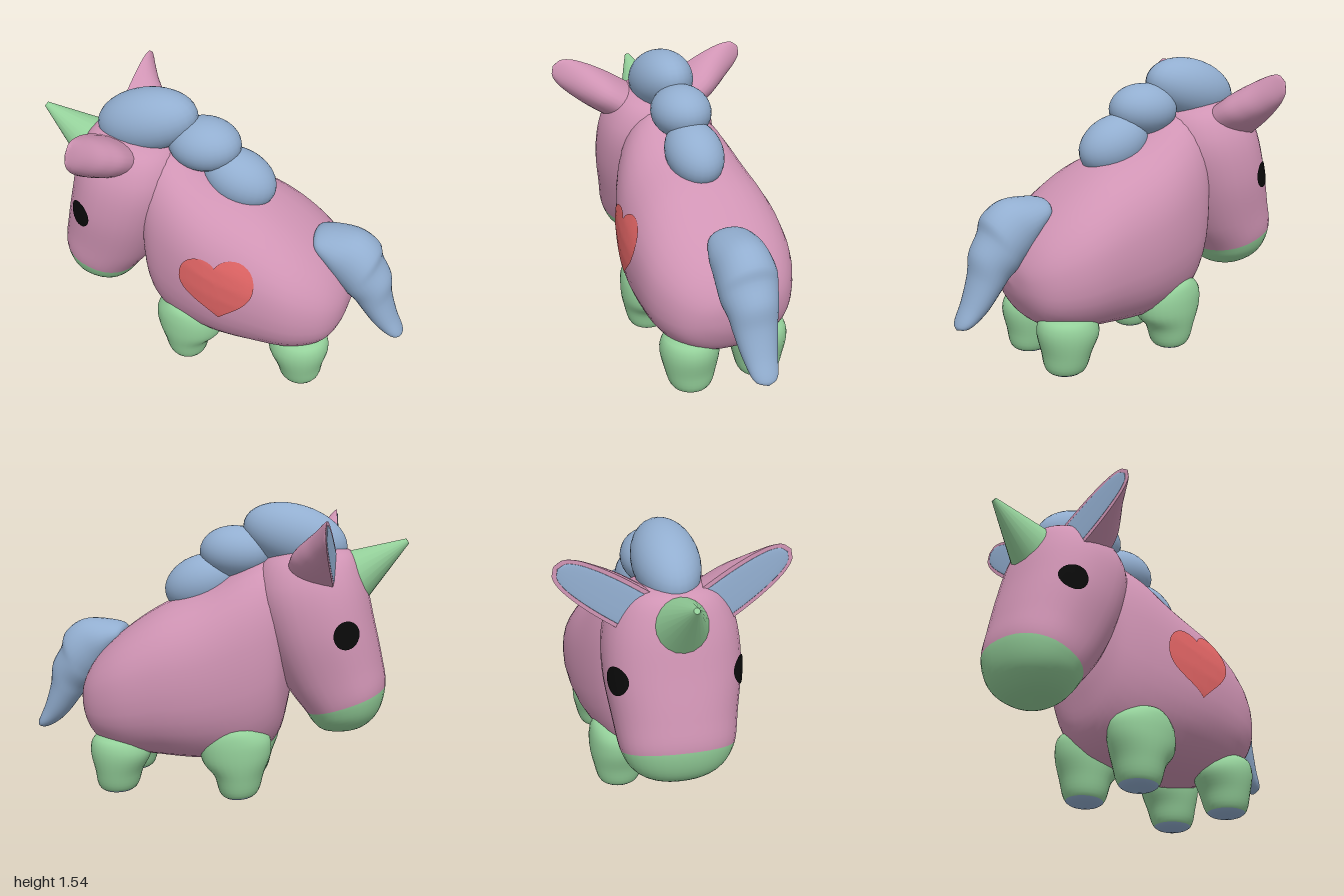
import * as THREE from 'three';
import { toCreasedNormals } from 'three/addons/utils/BufferGeometryUtils.js';

const paint = (name, color) => {
  const m = new THREE.MeshStandardMaterial({ color });
  m.name = name;
  return m;
};

// Skin through oval sections [ax, ay, bx, by, halfWidth]: a and b are opposite
// points in the xy plane, halfWidth runs along z. Rows before `split` get group 0.
function loft(sections, { sides = 28, steps = 5, power = 2, split = 0 } = {}) {
  const curveA = new THREE.CatmullRomCurve3(sections.map(s => new THREE.Vector3(s[0], s[1], s[4])));
  const curveB = new THREE.CatmullRomCurve3(sections.map(s => new THREE.Vector3(s[2], s[3], 0)));
  const rows = (sections.length - 1) * steps;
  const soft = v => Math.sign(v) * Math.abs(v) ** (2 / power);
  const pos = [], index = [];
  for (let i = 0; i <= rows; i++) {
    const a = curveA.getPoint(i / rows), b = curveB.getPoint(i / rows);
    const width = Math.max(a.z, 0);
    for (let j = 0; j < sides; j++) {
      const t = (j / sides) * Math.PI * 2, c = soft(Math.cos(t));
      pos.push((a.x + b.x) / 2 + (a.x - b.x) / 2 * c, (a.y + b.y) / 2 + (a.y - b.y) / 2 * c, width * soft(Math.sin(t)));
      if (i === rows) continue;
      const k = (j + 1) % sides, p = i * sides;
      index.push(p + j, p + k, p + sides + k, p + j, p + sides + k, p + sides + j);
    }
  }
  const g = new THREE.BufferGeometry();
  g.setAttribute('position', new THREE.Float32BufferAttribute(pos, 3));
  g.setIndex(index);
  if (split) {
    const cut = split * steps * sides * 6;
    g.addGroup(0, cut, 0);
    g.addGroup(cut, index.length - cut, 1);
  }
  g.computeVertexNormals();
  return g;
}

// Thin painted patch: an outline filled with rings and laid on the target's side
function patch(outline, centre, target, side) {
  const ray = new THREE.Raycaster(), rings = 8, n = outline.length;
  const pos = [], index = [];
  for (let r = 0; r <= rings; r++) {
    outline.forEach((p, j) => {
      const x = centre.x + (p.x - centre.x) * r / rings, y = centre.y + (p.y - centre.y) * r / rings;
      ray.set(new THREE.Vector3(x, y, 2 * side), new THREE.Vector3(0, 0, -side));
      const hit = ray.intersectObject(target)[0];
      pos.push(x, y, (hit ? hit.point.z : 0.3 * side) + 0.007 * side);
      if (r === rings) return;
      const a = r * n + j, b = r * n + (j + 1) % n;
      if (side > 0) index.push(a, a + n, b + n, a, b + n, b);
      else index.push(a, b + n, a + n, a, b, b + n);
    });
  }
  const g = new THREE.BufferGeometry();
  g.setAttribute('position', new THREE.Float32BufferAttribute(pos, 3));
  g.setIndex(index);
  g.computeVertexNormals();
  return g;
}

export function createModel() {
  const model = new THREE.Group();
  model.name = 'toyUnicorn';
  const pink = paint('pinkCoat', 0xd094b4), green = paint('greenTrim', 0x94d09a);
  const blue = paint('blueHair', 0x92aed0), red = paint('redHeart', 0xe06464), black = paint('blackEye', 0x0a0a0a);
  const add = (name, geometry, material) => {
    const m = new THREE.Mesh(geometry, material);
    m.name = name;
    model.add(m);
    return m;
  };

  // Body, from chest to rump
  const body = add('body', loft([
    [-0.43, 0.72, -0.43, 0.70, 0], [-0.40, 1.12, -0.40, 0.49, 0.2], [-0.35, 1.24, -0.35, 0.31, 0.28],
    [-0.24, 1.24, -0.24, 0.21, 0.335], [0, 1.11, 0, 0.18, 0.395], [0.25, 1.01, 0.25, 0.19, 0.41],
    [0.45, 0.88, 0.45, 0.21, 0.385], [0.6, 0.74, 0.6, 0.27, 0.3], [0.68, 0.61, 0.67, 0.38, 0.18],
    [0.7, 0.5, 0.7, 0.49, 0],
  ], { sides: 36, power: 2.3 }), pink);

  // Head with a green muzzle
  const head = add('head', loft([
    [-0.69, 0.355, -0.68, 0.355, 0], [-0.81, 0.395, -0.575, 0.37, 0.15], [-0.88, 0.475, -0.53, 0.415, 0.23],
    [-0.91, 0.61, -0.5, 0.46, 0.275], [-0.885, 0.76, -0.40, 0.59, 0.3], [-0.84, 0.95, -0.28, 0.85, 0.33],
    [-0.79, 1.15, -0.22, 1.08, 0.31], [-0.73, 1.28, -0.26, 1.23, 0.235], [-0.63, 1.32, -0.39, 1.3, 0.12],
    [-0.52, 1.325, -0.51, 1.325, 0],
  ], { sides: 36, power: 2.25, split: 3 }), [green, pink]);

  // Horn
  const from = new THREE.Vector3(-0.72, 1.165, 0), to = new THREE.Vector3(-0.992, 1.35, 0);
  const horn = add('horn', new THREE.CylinderGeometry(0.014, 0.14, from.distanceTo(to), 20), green);
  horn.position.lerpVectors(from, to, 0.5);
  horn.quaternion.setFromUnitVectors(new THREE.Vector3(0, 1, 0), to.clone().sub(from).normalize());

  // Legs with blue soles
  const legs = {
    frontLeg: [
      [-0.165, 0, -0.165, 0, 0], [-0.265, 0.04, -0.08, 0.025, 0.1], [-0.3, 0.15, -0.04, 0.13, 0.135],
      [-0.335, 0.26, 0.025, 0.21, 0.152], [-0.33, 0.34, 0.02, 0.32, 0.15], [-0.27, 0.4, -0.06, 0.39, 0.125],
      [-0.17, 0.43, -0.16, 0.43, 0],
    ],
    backLeg: [
      [0.485, 0, 0.485, 0, 0], [0.385, 0.035, 0.58, 0.03, 0.1], [0.35, 0.13, 0.605, 0.13, 0.135],
      [0.305, 0.23, 0.628, 0.25, 0.152], [0.335, 0.3, 0.605, 0.31, 0.13], [0.47, 0.35, 0.48, 0.35, 0],
    ],
  };
  for (const [name, sections] of Object.entries(legs)) {
    for (const side of [1, -1]) {
      add(name, loft(sections, { split: 1 }), [blue, green]).position.z = 0.19 * side;
    }
  }

  // Ears: flat in front, round behind, with a blue inside
  const earRows = [
    [-0.06, -0.4, 0.11], [0.1, -0.43, 0.108], [0.18, -0.475, 0.103], [0.26, -0.53, 0.093],
    [0.34, -0.575, 0.074], [0.39, -0.6, 0.045], [0.41, -0.61, 0],
  ];
  const earFront = y => -0.64 + 0.07 * y;
  const earShell = loft(earRows.map(([y, back, w]) => [2 * earFront(y) - back, y, back, y, w]));
  const p = earShell.attributes.position;
  for (let i = 0; i < p.count; i++) p.setX(i, Math.max(p.getX(i), earFront(p.getY(i))));
  const shell = toCreasedNormals(earShell, 0.8);
  const inside = loft(earRows.map(([y, , w]) => [earFront(y * 0.95) - 0.006, y * 0.95, earFront(y * 0.95) + 0.002, y * 0.95, w * 0.82]));
  for (const side of [1, -1]) {
    for (const [name, g, m] of [['ear', shell, pink], ['earInside', inside, blue]]) {
      const ear = add(name, g, m);
      ear.position.set(0, 1.225, 0.2 * side);
      ear.rotation.x = side;
    }
  }

  // Mane lobes: x, y, length, height, width radii and tilt
  for (const [x, y, rx, ry, rz, tilt] of [
    [-0.425, 1.365, 0.275, 0.162, 0.16, 0.28],
    [-0.12, 1.28, 0.19, 0.137, 0.155, 0.05],
    [0.065, 1.115, 0.2, 0.145, 0.148, -0.4],
  ]) {
    const lobe = add('maneLobe', new THREE.SphereGeometry(1, 28, 18).scale(rx, ry, rz), blue);
    lobe.position.set(x, y, 0);
    lobe.rotation.z = tilt;
  }

  // Tail
  add('tail', loft([
    [0.47, 0.84, 0.47, 0.83, 0], [0.49, 0.885, 0.5, 0.78, 0.1], [0.58, 0.905, 0.56, 0.7, 0.135],
    [0.72, 0.9, 0.6, 0.62, 0.145], [0.815, 0.83, 0.64, 0.58, 0.15], [0.835, 0.76, 0.67, 0.55, 0.145],
    [0.89, 0.66, 0.71, 0.51, 0.125], [0.905, 0.55, 0.75, 0.46, 0.11], [0.945, 0.42, 0.84, 0.35, 0.085],
    [0.99, 0.315, 0.93, 0.29, 0.055], [0.985, 0.285, 0.98, 0.285, 0],
  ]), blue);

  // Eyes
  const eye = new THREE.EllipseCurve(-0.71, 0.91, 0.062, 0.07).getPoints(28).slice(0, -1);
  for (const side of [1, -1]) add('eye', patch(eye, new THREE.Vector2(-0.71, 0.91), head, side), black);

  // Heart on the left flank
  const heart = new THREE.Shape();
  heart.moveTo(0.08, 0.5);
  heart.bezierCurveTo(0.14, 0.57, 0.265, 0.63, 0.265, 0.74);
  heart.bezierCurveTo(0.265, 0.87, 0.11, 0.9, 0.055, 0.81);
  heart.bezierCurveTo(0, 0.87, -0.14, 0.85, -0.14, 0.71);
  heart.bezierCurveTo(-0.14, 0.6, 0.01, 0.57, 0.08, 0.5);
  add('heart', patch(heart.getPoints(12).slice(0, -1), new THREE.Vector2(0.06, 0.7), body, 1), red);

  return model;
}
